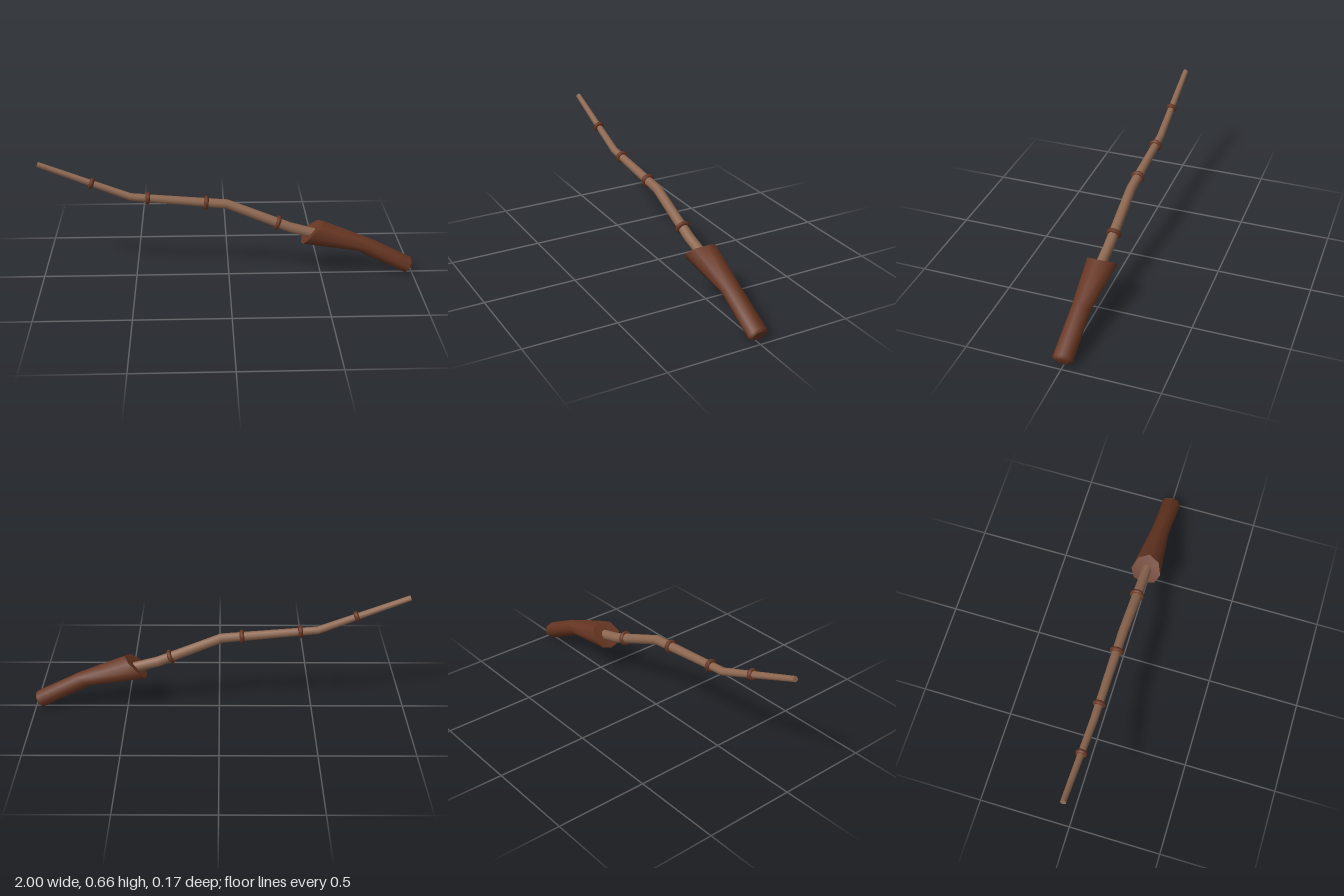
import * as THREE from 'three';

// Sweeps closed cross-sections along x. Each section: centre x, y; "up" half-axis ux, uy;
// half-width in z; bow = how far the sides shift along x. Caps are fans to given tips.
function loft(sections, sides, startTip, endTip) {
  const pos = [], idx = [];
  const point = ([x, y, ux, uy, w, bow = 0], j) => {
    const a = (j / sides) * Math.PI * 2, c = Math.cos(a), s = Math.sin(a);
    pos.push(x + ux * c + bow * s * s, y + uy * c, w * s);
  };
  sections.forEach((sec) => { for (let j = 0; j < sides; j++) point(sec, j); });
  for (let i = 0; i < sections.length - 1; i++) {
    for (let j = 0; j < sides; j++) {
      const k = (j + 1) % sides;
      const a = i * sides + j, b = i * sides + k, c = b + sides, d = a + sides;
      idx.push(a, b, c, a, c, d);
    }
  }
  // Caps have their own vertices so the rims stay sharp
  const cap = (sec, tip, atEnd) => {
    const base = pos.length / 3;
    for (let j = 0; j < sides; j++) point(sec, j);
    pos.push(tip[0], tip[1], 0);
    for (let j = 0; j < sides; j++) {
      const k = (j + 1) % sides;
      idx.push(base + sides, base + (atEnd ? j : k), base + (atEnd ? k : j));
    }
  };
  cap(sections[0], startTip, false);
  cap(sections[sections.length - 1], endTip, true);
  const geo = new THREE.BufferGeometry();
  geo.setAttribute('position', new THREE.Float32BufferAttribute(pos, 3));
  geo.setIndex(idx);
  geo.computeVertexNormals();
  return geo;
}

export function createModel() {
  const group = new THREE.Group();
  const paleWood = new THREE.MeshStandardMaterial({ color: 0x8d6750 });
  paleWood.name = 'paleWood';
  const darkWood = new THREE.MeshStandardMaterial({ color: 0x673622 });
  darkWood.name = 'darkWood';

  const add = (name, geo, mat) => {
    const mesh = new THREE.Mesh(geo, mat);
    mesh.name = name;
    group.add(mesh);
    return mesh;
  };

  // Crooked tapering shaft: x, y, radius at each bend
  const path = [
    [-0.995, 0.653, 0.015], [-0.52, 0.465, 0.021], [-0.01, 0.417, 0.026],
    [0.33, 0.276, 0.028], [0.47, 0.238, 0.028],
  ];
  const shaft = path.map(([x, y, r], i) => {
    const p = path[Math.max(i - 1, 0)], n = path[Math.min(i + 1, path.length - 1)];
    const dx = n[0] - p[0], dy = n[1] - p[1], len = Math.hypot(dx, dy);
    return [x, y, (-dy / len) * r, (dx / len) * r, r];
  });
  add('shaft', loft(shaft, 10, path[0], path[4]), paleWood);

  // Handle: slanted flared mouth, narrow waist, straight grip with a rounded butt
  const handle = [
    [0.449, 0.249, 0.059, 0.062, 0.083, -0.018],
    [0.727, 0.171, 0.043, 0.032, 0.051],
    [0.972, 0.047, 0.021, 0.043, 0.054, 0.006],
    [0.988, 0.045, 0.012, 0.028, 0.034],
  ];
  add('handle', loft(handle, 8, [0.445, 0.25], [0.992, 0.043]), darkWood);

  // Ring bands round the shaft: x, y, outer radius, slope of the shaft there
  const bands = [
    [-0.72, 0.545, 0.03, -0.377], [-0.428, 0.457, 0.034, -0.094],
    [-0.12, 0.427, 0.037, -0.094], [0.26, 0.306, 0.039, -0.394],
  ];
  bands.forEach(([x, y, r, slope], i) => {
    const geo = new THREE.TorusGeometry(r - 0.011, 0.012, 8, 20);
    geo.rotateY(Math.PI / 2);
    const band = add('band' + (i + 1), geo, darkWood);
    band.position.set(x, y, 0);
    band.rotation.z = Math.atan(slope);
  });

  return group;
}
